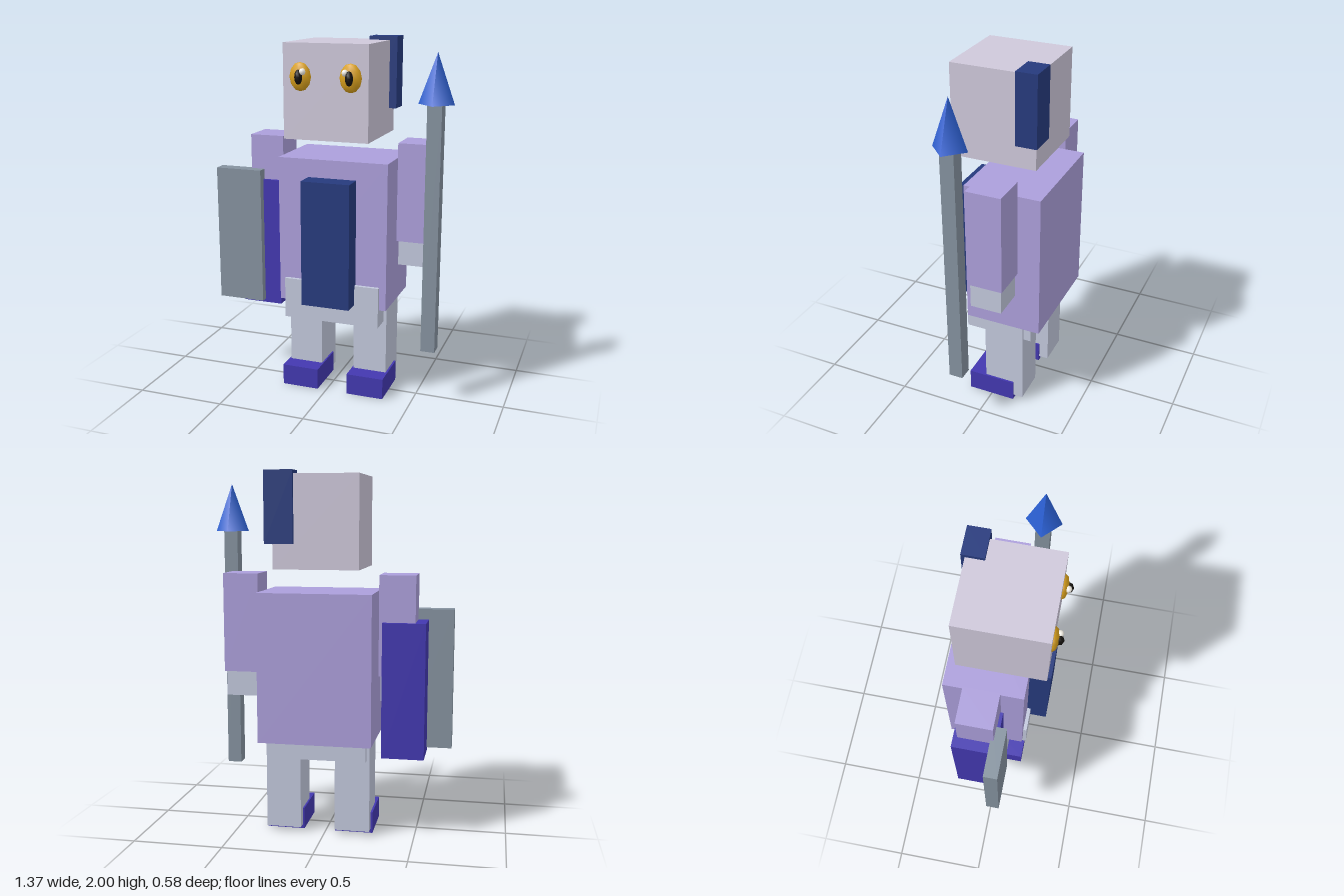
import * as THREE from 'three';

const paint = (color) => new THREE.MeshStandardMaterial({ color });
const mats = {
  skin: paint(0xcec8da),
  lavender: paint(0xac9fdb),
  indigo: paint(0x4338b0),
  navy: paint(0x263a7d),
  steel: paint(0x85929f),
  pale: paint(0xc2c8dc),
  blue: paint(0x2c62d8),
  gold: paint(0xd9a01c),
  black: paint(0x15120e),
  white: paint(0xf4f0e6),
};

// Box given by its extents along each axis
function block(name, mat, [x0, x1], [y0, y1], [z0, z1]) {
  const mesh = new THREE.Mesh(new THREE.BoxGeometry(x1 - x0, y1 - y0, z1 - z0), mat);
  mesh.position.set((x0 + x1) / 2, (y0 + y1) / 2, (z0 + z1) / 2);
  mesh.name = name;
  return mesh;
}

// Low-poly ellipsoid
function blob(name, mat, position, radii) {
  const mesh = new THREE.Mesh(new THREE.SphereGeometry(1, 8, 6), mat);
  mesh.position.set(...position);
  mesh.scale.set(...radii);
  mesh.name = name;
  return mesh;
}

export function createModel() {
  const model = new THREE.Group();
  model.name = 'guard';
  const midX = 0.037; // the body stands a little to its left

  // Head, torso and clothing
  model.add(
    block('head', mats.skin, [-0.197, 0.271], [1.477, 1.98], [-0.235, 0.237]),
    block('plume', mats.navy, [0.155, 0.312], [1.613, 2], [-0.255, -0.138]),
    block('torso', mats.lavender, [-0.275, 0.35], [0.533, 1.355], [-0.295, 0.137]),
    block('tabard', mats.navy, [-0.1, 0.175], [0.555, 1.255], [0.1, 0.253]),
    block('hips', mats.pale, [-0.238, 0.312], [0.434, 0.665], [-0.232, 0.157]),
  );

  for (const side of [-1, 1]) {
    const prefix = side > 0 ? 'left' : 'right';
    // Extents from an offset and half width, mirrored about the body's middle
    const span = (offset, half) => [midX + side * offset - half, midX + side * offset + half];

    // Leg and foot
    model.add(
      block(prefix + 'Leg', mats.pale, span(0.194, 0.097), [0.025, 0.6], [-0.19, 0.04]),
      block(prefix + 'Foot', mats.indigo, span(0.195, 0.107), [0, 0.12], [-0.135, 0.138]),
    );

    // Sleeve and hand
    model.add(
      block(prefix + 'Sleeve', mats.lavender, span(0.432, 0.098), [0.905, 1.45], [-0.177, 0.018]),
      block(prefix + 'Hand', mats.pale, span(0.432, 0.088), [0.768, 1.0], [-0.167, 0.008]),
    );

    // Eye with pupil and inward glint
    const x = midX + side * 0.138;
    const eye = new THREE.Group();
    eye.name = prefix + 'Eye';
    eye.add(
      blob('iris', mats.gold, [x, 1.807, 0.232], [0.064, 0.077, 0.036]),
      blob('pupil', mats.black, [x, 1.807, 0.264], [0.022, 0.039, 0.025]),
      blob('glint', mats.white, [x - side * 0.022, 1.835, 0.264], [0.018, 0.018, 0.018]),
    );
    model.add(eye);
  }

  // Arm guard and shield on the right arm
  model.add(
    block('armGuard', mats.indigo, [-0.55, -0.317], [0.455, 1.197], [-0.2, 0.035]),
    block('shield', mats.steel, [-0.688, -0.416], [0.475, 1.255], [0, 0.075]),
  );

  // Spear beside the left arm
  const spear = new THREE.Group();
  spear.name = 'spear';
  const tip = new THREE.Mesh(new THREE.ConeGeometry(0.096, 0.265, 4), mats.blue);
  tip.name = 'spearTip';
  tip.position.set(0.586, 1.806, 0.077);
  spear.add(block('shaft', mats.steel, [0.547, 0.625], [0.318, 1.7], [0.039, 0.117]), tip);
  model.add(spear);

  return model;
}
